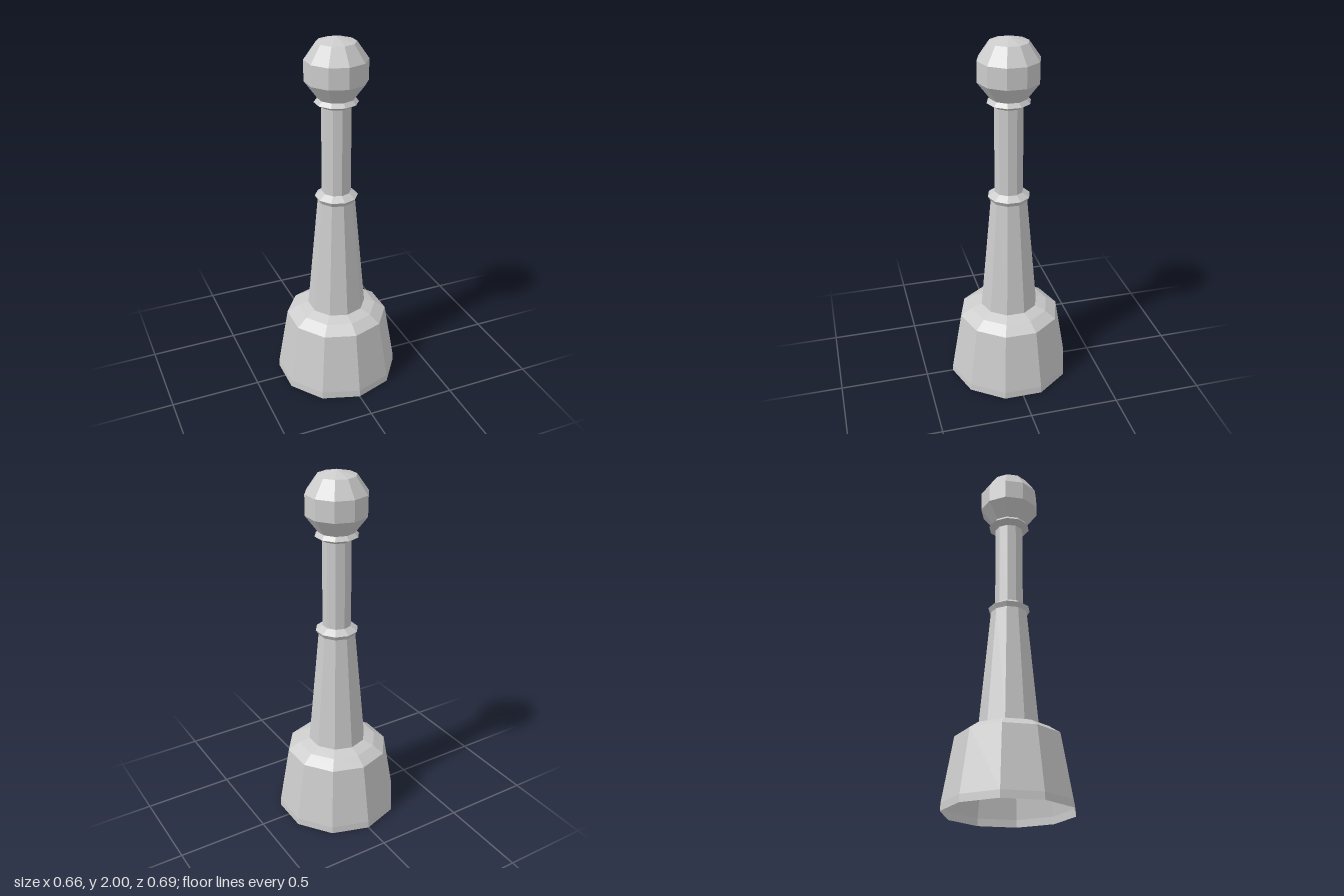
import * as THREE from 'three';

const SIDES = 10;

const material = new THREE.MeshStandardMaterial({
  color: 0xcccccc,
  flatShading: true,
  side: THREE.DoubleSide,
});

// Ten-sided turned part from [radius, height] pairs, listed bottom to top
function turned(name, profile) {
  const points = profile.map(([r, y]) => new THREE.Vector2(r, y));
  const mesh = new THREE.Mesh(new THREE.LatheGeometry(points, SIDES), material);
  mesh.name = name;
  return mesh;
}

export function createModel() {
  const group = new THREE.Group();
  group.name = 'turnedPost';

  group.add(
    // Hollow flared foot, open underneath, with a rounded shoulder
    turned('base', [[0.345, 0], [0.343, 0.04], [0.285, 0.383], [0.224, 0.425], [0.162, 0.447]]),
    // Tapering lower shaft
    turned('lowerShaft', [[0.162, 0.447], [0.102, 1.105]]),
    // Ring between the two shafts
    turned('lowerCollar', [[0.102, 1.105], [0.117, 1.13], [0.079, 1.157]]),
    // Straight upper shaft
    turned('upperShaft', [[0.079, 1.157], [0.079, 1.638]]),
    // Ring under the knob
    turned('upperCollar', [[0.079, 1.638], [0.117, 1.66], [0.098, 1.682]]),
    // Faceted ball with a shallow pointed cap
    turned('knob', [[0.098, 1.682], [0.166, 1.772], [0.166, 1.883], [0.104, 1.972], [0, 2]]),
  );

  return group;
}
